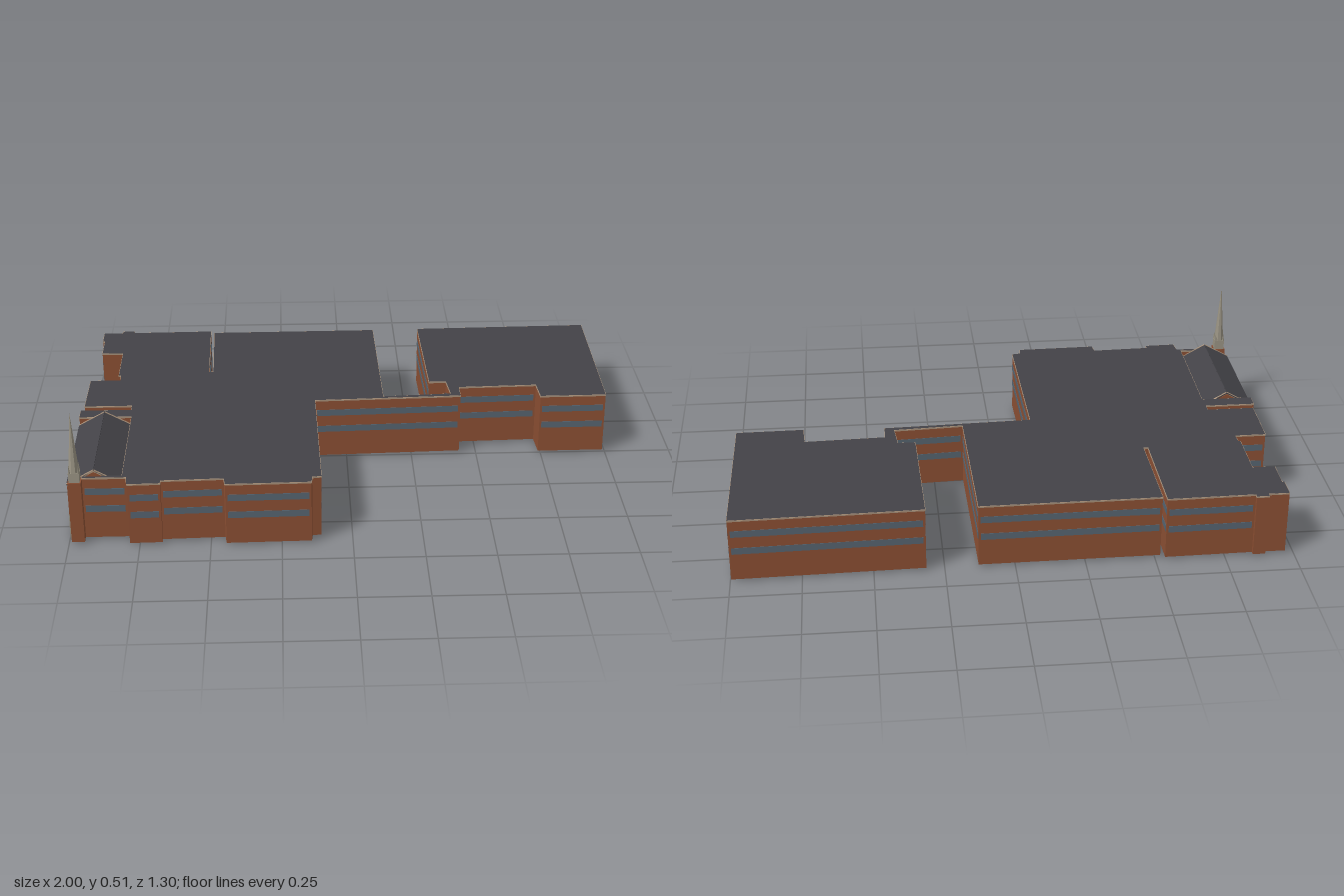
import * as THREE from 'three';
import { mergeGeometries } from 'three/addons/utils/BufferGeometryUtils.js';

const mat = (name, color, side = THREE.FrontSide) => {
  const m = new THREE.MeshStandardMaterial({ color, side });
  m.name = name;
  return m;
};

// Building outline seen from above, clockwise, as [x, z]
const OUTLINE = [
  [-0.97, -0.635], [-0.895, -0.635], [-0.895, -0.65], [-0.85, -0.65], [-0.85, -0.635],
  [-0.535, -0.64], [-0.53, -0.255], [-0.512, -0.255], [-0.52, -0.625], [0.13, -0.63],
  [0.14, -0.015], [0.4, -0.03], [0.39, -0.135], [0.325, -0.135], [0.315, -0.635],
  [0.997, -0.65], [0.99, 0], [0.74, 0.003], [0.735, -0.095], [0.435, -0.085], [0.435, -0.012],
  [-0.12, 0.008], [-0.11, 0.6], [-0.142, 0.605], [-0.145, 0.64], [-0.445, 0.646],
  [-0.45, 0.605], [-0.67, 0.612], [-0.67, 0.632], [-0.785, 0.635], [-0.79, 0.585],
  [-0.945, 0.585], [-0.945, 0.572], [-0.805, 0.572], [-0.805, 0.12], [-0.998, 0.12],
  [-0.998, 0.065], [-0.81, 0.065], [-0.81, 0.03], [-0.987, 0.03], [-0.985, -0.19],
  [-0.87, -0.19], [-0.872, -0.235], [-0.88, -0.235], [-0.88, -0.44], [-0.962, -0.44],
  [-0.962, -0.555], [-0.97, -0.555],
];
const BASE = 0.008, TOP = 0.243;

// Thin upright panels along every outline edge of at least minLength
function edgePanels(y0, y1, thick, offset, margin = 0, minLength = 0) {
  const parts = [];
  OUTLINE.forEach(([x0, z0], i) => {
    const [x1, z1] = OUTLINE[(i + 1) % OUTLINE.length];
    const dx = x1 - x0, dz = z1 - z0, len = Math.hypot(dx, dz);
    if (len < minLength) return;
    const g = new THREE.BoxGeometry(len - 2 * margin, y1 - y0, thick);
    g.rotateY(Math.atan2(-dz, dx));
    g.translate((x0 + x1) / 2 + (dz / len) * offset, (y0 + y1) / 2, (z0 + z1) / 2 - (dx / len) * offset);
    parts.push(g);
  });
  return mergeGeometries(parts);
}

export function createModel() {
  const model = new THREE.Group();
  const brick = mat('brick', 0x8b4f33);
  const roofing = mat('roofing', 0x434247, THREE.DoubleSide);
  const glass = mat('windowGlass', 0x566470);
  const stone = mat('stone', 0x9a9484);
  const coping = mat('coping', 0xa8917a);

  const add = (name, geo, material, x = 0, y = 0, z = 0, parent = model) => {
    const mesh = new THREE.Mesh(geo, material);
    mesh.name = name;
    mesh.position.set(x, y, z);
    parent.add(mesh);
    return mesh;
  };
  const box = (name, w, h, d, material, x, y, z, parent) =>
    add(name, new THREE.BoxGeometry(w, h, d), material, x, y, z, parent);

  // Main building: open-bottomed walls, flat roof, two window bands
  add('outerWalls', edgePanels(BASE, TOP, 0.004, -0.002), brick);
  const shape = new THREE.Shape(OUTLINE.map(([x, z]) => new THREE.Vector2(x, -z)));
  add('flatRoof', new THREE.ShapeGeometry(shape).rotateX(-Math.PI / 2), roofing, 0, TOP + 0.002, 0);
  add('roofCoping', edgePanels(TOP - 0.004, TOP + 0.0015, 0.003, 0), coping);
  [[0.109, 0.134], [0.177, 0.202]].forEach(([a, b], i) =>
    add(i ? 'upperWindowBand' : 'lowerWindowBand', edgePanels(a, b, 0.003, 0, 0.008, 0.1), glass));

  // Chapel with a ridged roof set against the west side
  const chapel = new THREE.Group();
  chapel.name = 'chapel';
  model.add(chapel);
  const xL = -0.986, xR = -0.808, xMid = -0.903, eave = 0.212, ridge = 0.266;
  const z0 = 0.122, z1 = 0.575, zMid = (z0 + z1) / 2, length = z1 - z0;
  box('chapelWestWall', 0.004, eave, length, brick, xL, eave / 2, zMid, chapel);
  box('chapelEastWall', 0.004, eave, length, brick, xR, eave / 2, zMid, chapel);

  const gable = new THREE.Shape();
  gable.moveTo(xL, 0).lineTo(xR, 0).lineTo(xR, eave).lineTo(xMid, ridge - 0.003).lineTo(xL, eave);
  for (const z of [z0, z1 - 0.004])
    add('chapelGable', new THREE.ExtrudeGeometry(gable, { depth: 0.004, bevelEnabled: false }), brick, 0, 0, z, chapel);

  // Roof slopes and the stone edging on the gables
  for (const xe of [-1, -0.806]) {
    const dx = xe - xMid, dy = eave - ridge;
    const angle = Math.atan(dy / dx), span = Math.hypot(dx, dy);
    const cx = (xe + xMid) / 2, cy = (eave + ridge) / 2;
    box('chapelRoofSlope', span, 0.004, length, roofing, cx, cy, zMid, chapel).rotation.z = angle;
    for (const z of [z0 + 0.003, z1 - 0.003])
      box('gableEdging', span, 0.007, 0.006, coping, cx, cy, z, chapel).rotation.z = angle;
  }

  // Stone plinth, buttresses and tall windows on the chapel's west wall
  box('chapelPlinth', 0.012, 0.095, length, stone, -0.994, 0.0475, zMid, chapel);
  const bays = 5, bay = length / bays;
  for (let i = 0; i <= bays; i++) {
    const z = THREE.MathUtils.clamp(z0 + i * bay, z0 + 0.012, z1 - 0.012);
    box('buttress', 0.01, 0.11, 0.024, brick, -0.993, 0.15, z, chapel);
    if (i < bays)
      box('tallWindow', 0.008, 0.095, 0.028, glass, xL, 0.147, z0 + (i + 0.5) * bay, chapel);
  }

  // Corner tower with belfry, spire and pinnacles
  const tower = new THREE.Group();
  tower.name = 'tower';
  tower.position.set(-0.967, 0, 0.598);
  model.add(tower);
  box('towerShaft', 0.046, TOP - BASE, 0.046, brick, 0, (TOP + BASE) / 2, 0, tower);
  box('belfry', 0.038, 0.036, 0.038, stone, 0, 0.261, 0, tower);
  const spire = new THREE.ConeGeometry(0.019, 0.227, 8).rotateY(Math.PI / 8).toNonIndexed();
  spire.computeVertexNormals();
  add('spire', spire, stone, 0, 0.279 + 0.1135, 0, tower);
  for (const sx of [-1, 1]) for (const sz of [-1, 1])
    add('pinnacle', new THREE.ConeGeometry(0.005, 0.03, 4).rotateY(Math.PI / 4), stone, sx * 0.0155, 0.294, sz * 0.0155, tower);

  return model;
}
